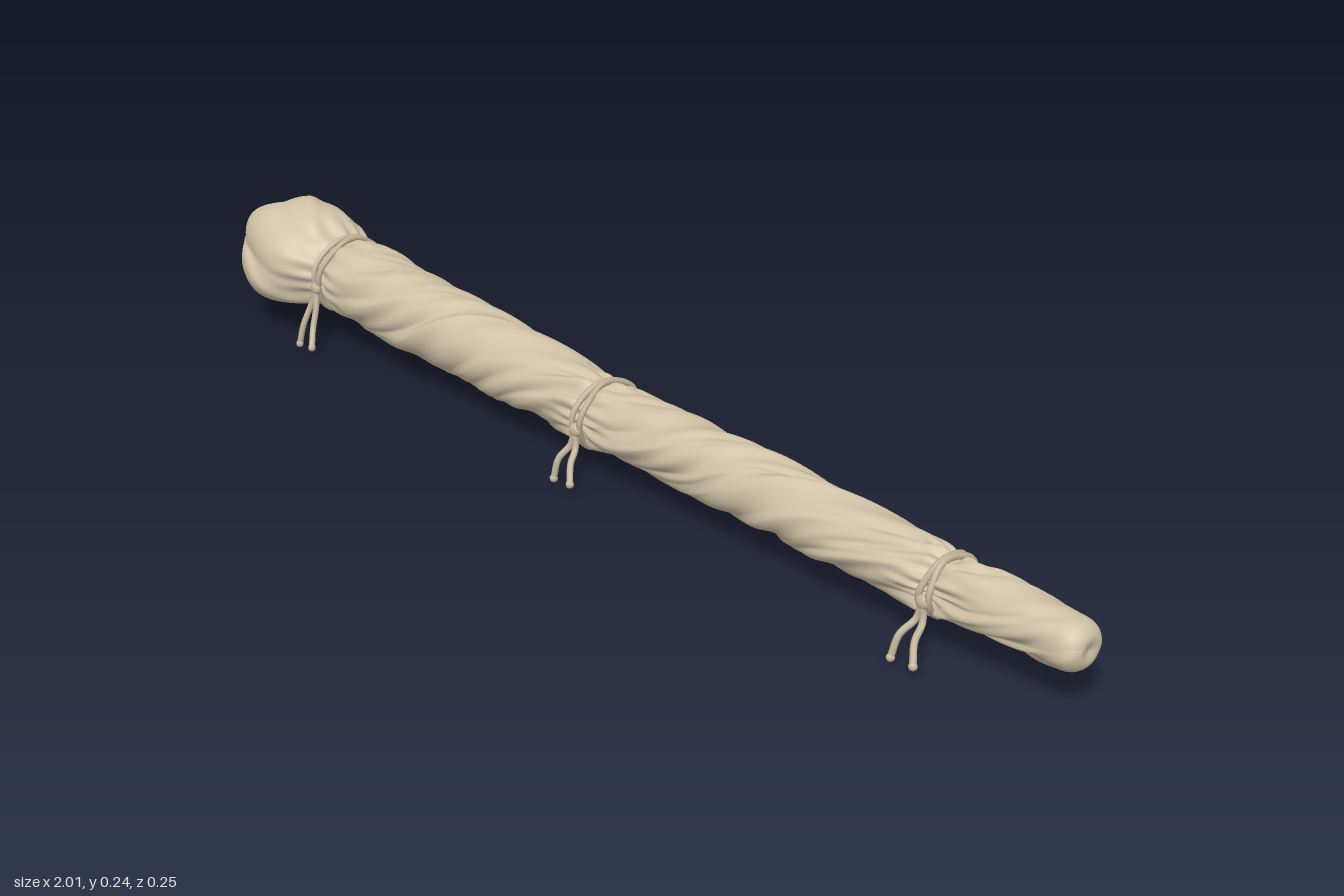
import * as THREE from 'three';

const cloth = new THREE.MeshStandardMaterial({ color: 0xcfc1a5 });
cloth.name = 'linen cloth';
const cord = new THREE.MeshStandardMaterial({ color: 0xc3b59a });
cord.name = 'twine';

const TIES = [-0.765, -0.03, 0.735];

// Cross-sections along the bundle: x, centre y, centre z, half height, half depth
const SECTIONS = [
  [-0.995, 0.13, 0.0, 0.0, 0.0], [-0.995, 0.13, 0.0, 0.045, 0.055], [-0.975, 0.13, 0.0, 0.078, 0.09],
  [-0.93, 0.135, 0.0, 0.096, 0.112], [-0.88, 0.137, 0.0, 0.097, 0.116], [-0.83, 0.137, 0.0, 0.089, 0.102],
  [-0.79, 0.131, -0.01, 0.073, 0.083], [-0.765, 0.128, -0.013, 0.067, 0.071], [-0.73, 0.125, -0.014, 0.072, 0.075],
  [-0.6, 0.118, -0.015, 0.073, 0.075], [-0.3, 0.112, -0.013, 0.067, 0.07], [-0.03, 0.105, -0.01, 0.057, 0.062],
  [0.2, 0.108, -0.01, 0.058, 0.061], [0.5, 0.107, -0.01, 0.055, 0.057], [0.7, 0.104, -0.011, 0.05, 0.053],
  [0.735, 0.104, -0.011, 0.046, 0.048], [0.78, 0.106, -0.012, 0.046, 0.047], [0.95, 0.108, -0.014, 0.042, 0.042],
  [0.985, 0.108, -0.014, 0.037, 0.038], [0.999, 0.108, -0.014, 0.022, 0.022], [0.995, 0.108, -0.014, 0.0, 0.0],
];

// Smooth lookup of the sections by distance along the outline
const stations = [0];
for (let i = 1; i < SECTIONS.length; i++) {
  const a = SECTIONS[i - 1], b = SECTIONS[i];
  stations.push(stations[i - 1] + Math.hypot(b[0] - a[0], b[3] - a[3]));
}
const sampler = new THREE.CubicInterpolant(stations, SECTIONS.flat(), 5, new Float32Array(5));
const sectionAt = (s) => Array.from(sampler.evaluate(s));
const LENGTH = stations[stations.length - 1];

const near = (x, c, w) => Math.exp(-(((x - c) / w) ** 2));
const smooth = THREE.MathUtils.smoothstep;
// Lopsided wave: a slow rise, then a sharp drop like the lip of a fold
const lip = (p) => {
  const t = p / (2 * Math.PI) - Math.floor(p / (2 * Math.PI));
  return t < 0.86 ? t / 0.86 - 0.5 : (1 - t) / 0.14 - 0.5;
};

// Spiral folds on the shaft, big slack folds on the head, gathers at the ties
function foldHeight(x, a) {
  const body = smooth(x, -0.76, -0.66) * (1 - smooth(x, 0.9, 0.98));
  const head = 1 - smooth(x, -0.82, -0.76);
  const wander = 0.5 * Math.sin(9 * x + a) + 0.35 * Math.sin(17 * x - 2 * a);
  const strength = 0.65 + 0.35 * Math.sin(11 * x + 2 * a);
  let h = body * strength * 0.011 * lip(3 * (a - 8 * x) + wander);
  h += body * 0.005 * lip(5 * a - 34 * x + 2 * wander + 1);
  h += body * 0.002 * Math.sin(7 * a - 70 * x + 3 * wander);
  h += head * (0.010 * Math.abs(Math.sin(2.5 * a + 8 * x + 0.6)) - 0.006);
  h += head * 0.007 * lip(4 * a + 22 * x + Math.sin(2 * a + 20 * x));
  h += head * 0.005 * Math.sin(3 * a - 25 * x);
  for (const t of TIES) {
    h += near(x, t, 0.05) * 0.004 * Math.sin(13 * a + 2 * Math.sin(3 * a));
    h -= near(x, t, 0.014) * 0.005;
  }
  h += smooth(x, 0.82, 0.9) * 0.004 * lip(2 * a - 26 * x);
  return h;
}

// Point on the cloth; angle 0 faces the front and turns up and over the top
function clothPoint(s, a, lift = 0) {
  const [x, cy, cz, ry, rz] = sectionAt(s);
  const fade = Math.min(1, Math.max(0, ry) / 0.04);
  const h = foldHeight(x, a) * fade + lift;
  const slant = x < -0.8 ? 0.012 * Math.sin(3 * a + 1) * smooth(-x, 0.94, 0.99) * fade : 0;
  return new THREE.Vector3(x + slant,
    cy + Math.sin(a) * (Math.max(0, ry) + h), cz + Math.cos(a) * (Math.max(0, rz) + h));
}

function makeCloth() {
  const rows = 420, cols = 112, positions = [], index = [];
  for (let i = 0; i <= rows; i++) {
    for (let j = 0; j < cols; j++) {
      positions.push(...clothPoint((i / rows) * LENGTH, (j / cols) * Math.PI * 2).toArray());
    }
  }
  for (let i = 0; i < rows; i++) {
    for (let j = 0; j < cols; j++) {
      const k = (j + 1) % cols, a = i * cols + j, b = i * cols + k;
      index.push(a, a + cols, b + cols, a, b + cols, b);
    }
  }
  const g = new THREE.BufferGeometry();
  g.setAttribute('position', new THREE.Float32BufferAttribute(positions, 3));
  g.setIndex(index);
  g.computeVertexNormals();
  return g;
}

function addMesh(group, geometry, name, material = cord) {
  const mesh = new THREE.Mesh(geometry, material);
  mesh.name = name;
  group.add(mesh);
  return mesh;
}

// Twine wound twice round the bundle, knotted with two loose ends on each side
function makeTie(x, n) {
  const tie = new THREE.Group();
  tie.name = 'tie';
  const i = SECTIONS.findIndex((s) => s[0] === x);
  const [, cy, cz, ry, rz] = SECTIONS[i];
  for (const side of [-1, 1]) {
    const loop = [];
    for (let j = 0; j < 32; j++) {
      const a = (j / 32) * Math.PI * 2;
      const r = 0.003 + 0.0015 * Math.sin(5 * a + n);
      loop.push(new THREE.Vector3(x + side * (0.006 + 0.004 * Math.sin(2 * a + n)) + 0.004 * Math.sin(a),
        cy + Math.sin(a) * (ry + r), cz + Math.cos(a) * (rz + r)));
    }
    addMesh(tie, new THREE.TubeGeometry(new THREE.CatmullRomCurve3(loop, true), 96, 0.0055, 7, true), 'windingLoop');
  }
  for (const side of [-1, 1]) {
    const z0 = cz + side * (rz + 0.005);
    const knot = addMesh(tie, new THREE.SphereGeometry(0.012, 14, 10), 'knot');
    knot.position.set(x, cy - 0.01, z0);
    knot.scale.set(1.1, 1, 0.75);
    const zEnd = side > 0 ? 0.097 - 0.004 * n : -0.116 + 0.005 * n;
    for (const spread of [-1, 1]) {
      const yEnd = spread < 0 ? 0.008 : 0.019;
      const path = new THREE.CatmullRomCurve3([
        new THREE.Vector3(x, cy - 0.008, z0),
        new THREE.Vector3(x + spread * 0.007, cy - 0.04, z0 + side * 0.006),
        new THREE.Vector3(x + spread * 0.015, 0.045, THREE.MathUtils.lerp(z0, zEnd, 0.65)),
        new THREE.Vector3(x + spread * (spread > 0 ? 0.032 : 0.019), yEnd, zEnd + side * spread * 0.004),
      ]);
      addMesh(tie, new THREE.TubeGeometry(path, 20, 0.0058, 7), 'looseEnd');
      const tip = addMesh(tie, new THREE.SphereGeometry(0.0072, 10, 8), 'frayedTip');
      tip.position.copy(path.getPoint(1));
    }
  }
  return tie;
}

export function createModel() {
  const model = new THREE.Group();
  model.name = 'wrappedBundle';
  addMesh(model, makeCloth(), 'clothWrap', cloth);
  TIES.forEach((x, n) => model.add(makeTie(x, n)));
  return model;
}
